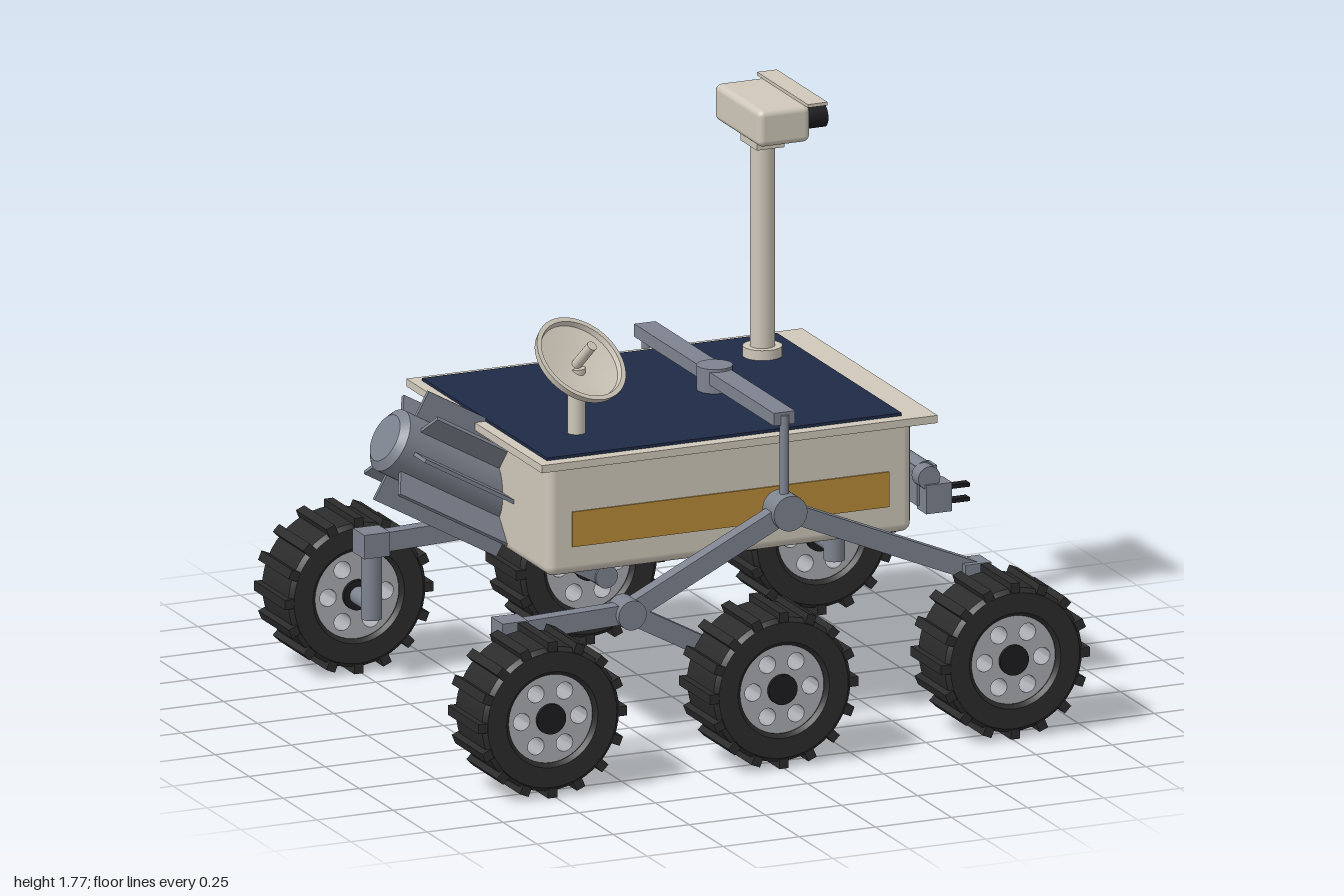
import * as THREE from 'three';
import { RoundedBoxGeometry } from 'three/addons/geometries/RoundedBoxGeometry.js';
import { toCreasedNormals } from 'three/addons/utils/BufferGeometryUtils.js';

const mat = (name, color) => {
  const m = new THREE.MeshStandardMaterial({ color });
  m.name = name;
  return m;
};

export function createModel() {
  const cream = mat('cream', 0xcfc8ba);
  const navy = mat('solarNavy', 0x1f2b47);
  const amber = mat('amber', 0xb98b38);
  const grey = mat('frameGrey', 0x7d838f);
  const silver = mat('rimSilver', 0xa9abb0);
  const rubber = mat('rubber', 0x2b2b2b);
  const black = mat('black', 0x1c1c1f);

  const root = new THREE.Group();
  root.name = 'rover';

  const add = (name, geo, material, x = 0, y = 0, z = 0, parent = root) => {
    const m = new THREE.Mesh(geo, material);
    m.name = name;
    m.position.set(x, y, z);
    parent.add(m);
    return m;
  };
  const box = (w, h, d) => new THREE.BoxGeometry(w, h, d);
  const rbox = (w, h, d, r) => new RoundedBoxGeometry(w, h, d, 3, r);
  const cyl = (r, h, n = 28) => new THREE.CylinderGeometry(r, r, h, n);
  const cylZ = (r, h, n) => cyl(r, h, n).rotateX(Math.PI / 2);
  const cylX = (r, h, n) => cyl(r, h, n).rotateZ(-Math.PI / 2);
  const group = (name, x = 0, y = 0, z = 0) => {
    const g = new THREE.Group();
    g.name = name;
    g.position.set(x, y, z);
    root.add(g);
    return g;
  };
  // Flat bar between two points of a plane at depth z
  const bar = (name, a, b, z, h = 0.06, d = 0.045) => {
    const dx = b[0] - a[0], dy = b[1] - a[1];
    const m = add(name, box(Math.hypot(dx, dy), h, d), grey, (a[0] + b[0]) / 2, (a[1] + b[1]) / 2, z);
    m.rotation.z = Math.atan2(dy, dx);
  };

  // Body, deck and solar panel
  add('body', rbox(1.2, 0.365, 0.86, 0.03), cream, 0, 0.743, 0);
  add('deck', box(1.3, 0.024, 1), cream, 0, 0.927, 0);
  add('solarPanel', box(1.165, 0.009, 0.92), navy, -0.033, 0.9435, 0);
  for (const s of [1, -1]) {
    add('sidePanel', box(1.04, 0.11, 0.008), amber, 0, 0.705, s * 0.431);
    add('frontVent', rbox(0.02, 0.045, 0.12, 0.006), cream, 0.602, 0.815, s * 0.24);
    add('hazardCamera', cylX(0.02, 0.025, 18), black, 0.602, 0.612, s * 0.13);
  }

  // Camera mast
  const mast = group('mast', 0.415, 0, -0.265);
  add('mastBase', cyl(0.06, 0.04), cream, 0, 0.959, 0, mast);
  add('mastTube', cyl(0.038, 0.68), cream, 0, 1.29, 0, mast);
  add('mastNeck', box(0.09, 0.045, 0.12), cream, 0, 1.632, 0, mast);
  add('cameraHead', rbox(0.17, 0.115, 0.335, 0.02), cream, 0, 1.707, 0, mast);
  add('cameraVisor', box(0.065, 0.01, 0.375), cream, 0.098, 1.77, 0, mast);
  for (const z of [0.095, -0.095]) {
    add('cameraBarrel', cylX(0.036, 0.085), black, 0.116, 1.707, z, mast);
    add('cameraLens', cylX(0.029, 0.005), navy, 0.159, 1.707, z, mast);
  }

  // Dish antenna
  add('dishPost', cyl(0.027, 0.21), cream, -0.425, 1.045, 0.25);
  const dish = group('dishAntenna', -0.42, 1.165, 0.25);
  dish.quaternion.setFromUnitVectors(new THREE.Vector3(0, 1, 0), new THREE.Vector3(0.246, 0.746, 0.62).normalize());
  const dishProfile = [[0, -0.025], [0.07, -0.02], [0.148, 0], [0.152, 0.022], [0.137, 0.022], [0.132, 0.006], [0.07, -0.006], [0, -0.011]]
    .map(p => new THREE.Vector2(...p));
  add('dishBowl', toCreasedNormals(new THREE.LatheGeometry(dishProfile, 48), 0.6), cream, 0, 0, 0, dish);
  add('dishFeed', cyl(0.016, 0.1, 18), cream, 0, 0.038, 0, dish);

  // Finned power unit, tilted up at the rear
  const power = group('powerUnit', -0.69, 0.783, 0);
  power.rotation.z = Math.PI / 2 - 0.513;
  add('powerCore', cyl(0.1, 0.5, 32), grey, 0, 0.02, 0, power);
  add('powerCap', new THREE.CylinderGeometry(0.075, 0.1, 0.02, 32), grey, 0, 0.28, 0, power);
  for (let i = 0; i < 8; i++) {
    const a = i * Math.PI / 4;
    const fin = add('powerFin', box(0.105, 0.46, 0.012), grey, Math.cos(a) * 0.13, 0, -Math.sin(a) * 0.13, power);
    fin.rotation.y = a;
  }

  // Differential bar over the deck
  add('differentialBar', box(0.07, 0.04, 1.03), grey, 0.14, 0.995, 0);
  add('differentialPivot', cyl(0.055, 0.08), grey, 0.14, 0.984, 0);

  // Wheel geometries, shared by all six wheels
  const tireProfile = [[0.138, -0.098], [0.15, -0.11], [0.212, -0.11], [0.225, -0.097], [0.225, 0.097],
    [0.212, 0.11], [0.15, 0.11], [0.138, 0.098], [0.138, -0.098]].map(p => new THREE.Vector2(...p));
  const tireGeo = toCreasedNormals(new THREE.LatheGeometry(tireProfile, 48).rotateX(Math.PI / 2), 0.5);
  const rimShape = new THREE.Shape().absarc(0, 0, 0.14, 0, Math.PI * 2);
  for (let i = 0; i < 6; i++) {
    const a = i * Math.PI / 3;
    const hole = new THREE.Path().absarc(Math.cos(a) * 0.094, Math.sin(a) * 0.094, 0.027, 0, Math.PI * 2, true);
    rimShape.holes.push(hole);
  }
  const rimGeo = toCreasedNormals(
    new THREE.ExtrudeGeometry(rimShape, { depth: 0.19, bevelEnabled: false, curveSegments: 20 }).translate(0, 0, -0.095), 0.6);
  const lugGeo = box(0.03, 0.03, 0.226);
  const hubGeo = cylZ(0.047, 0.214);

  const wheel = (x, s) => {
    const w = group('wheel', x, 0.245, s * 0.714);
    add('tire', tireGeo, rubber, 0, 0, 0, w);
    add('rim', rimGeo, silver, 0, 0, 0, w);
    add('hub', hubGeo, black, 0, 0, 0, w);
    for (let i = 0; i < 16; i++) {
      const a = i * Math.PI / 8;
      const lug = add('treadLug', lugGeo, rubber, Math.sin(a) * 0.229, Math.cos(a) * 0.229, 0, w);
      lug.rotation.z = -a;
    }
  };

  // Rocker-bogie suspension on both sides
  const pivot = [0.144, 0.706], bogie = [-0.375, 0.45];
  for (const s of [1, -1]) {
    const z = s * 0.51;
    add('rockerPivot', cylZ(0.055, 0.085), grey, ...pivot, z);
    add('bogiePivot', cylZ(0.046, 0.085), grey, ...bogie, z);
    bar('rockerRearArm', pivot, bogie, z);
    bar('rockerFrontArm', pivot, [0.76, 0.445], z);
    bar('bogieRearArm', bogie, [-0.76, 0.437], z);
    bar('bogieMiddleArm', bogie, [0, 0.245], z);
    add('differentialLink', cyl(0.014, 0.3, 16), grey, 0.142, 0.855, z);
    add('middleJoint', cylZ(0.036, 0.06), grey, 0, 0.245, z);
    for (const x of [-0.76, 0.76]) {
      add('steeringHousing', box(0.085, 0.075, 0.085), grey, x, 0.438, z);
      add('steeringPost', cyl(0.032, 0.22), grey, x, 0.31, z);
    }
    for (const x of [-0.76, 0, 0.76]) {
      add('axle', cylZ(0.028, 0.12, 20), grey, x, 0.245, s * 0.57);
      wheel(x, s);
    }
  }

  // Folded robot arm at the front
  add('armMount', box(0.1, 0.09, 0.09), grey, 0.64, 0.665, -0.135);
  add('armShoulder', cylZ(0.046, 0.09), grey, 0.69, 0.708, -0.185);
  add('upperArm', cylZ(0.03, 0.46), grey, 0.69, 0.71, 0.085);
  add('armElbow', box(0.065, 0.12, 0.06), grey, 0.695, 0.665, 0.29);
  add('forearm', cylZ(0.026, 0.49), grey, 0.705, 0.636, 0.06);
  add('armTurret', box(0.085, 0.09, 0.07), grey, 0.713, 0.636, 0.335);
  add('turretMotor', cylZ(0.036, 0.05), grey, 0.685, 0.7, 0.335);
  for (const y of [0.615, 0.66]) add('gripperFinger', box(0.075, 0.012, 0.03), black, 0.785, y, 0.335);

  return root;
}
